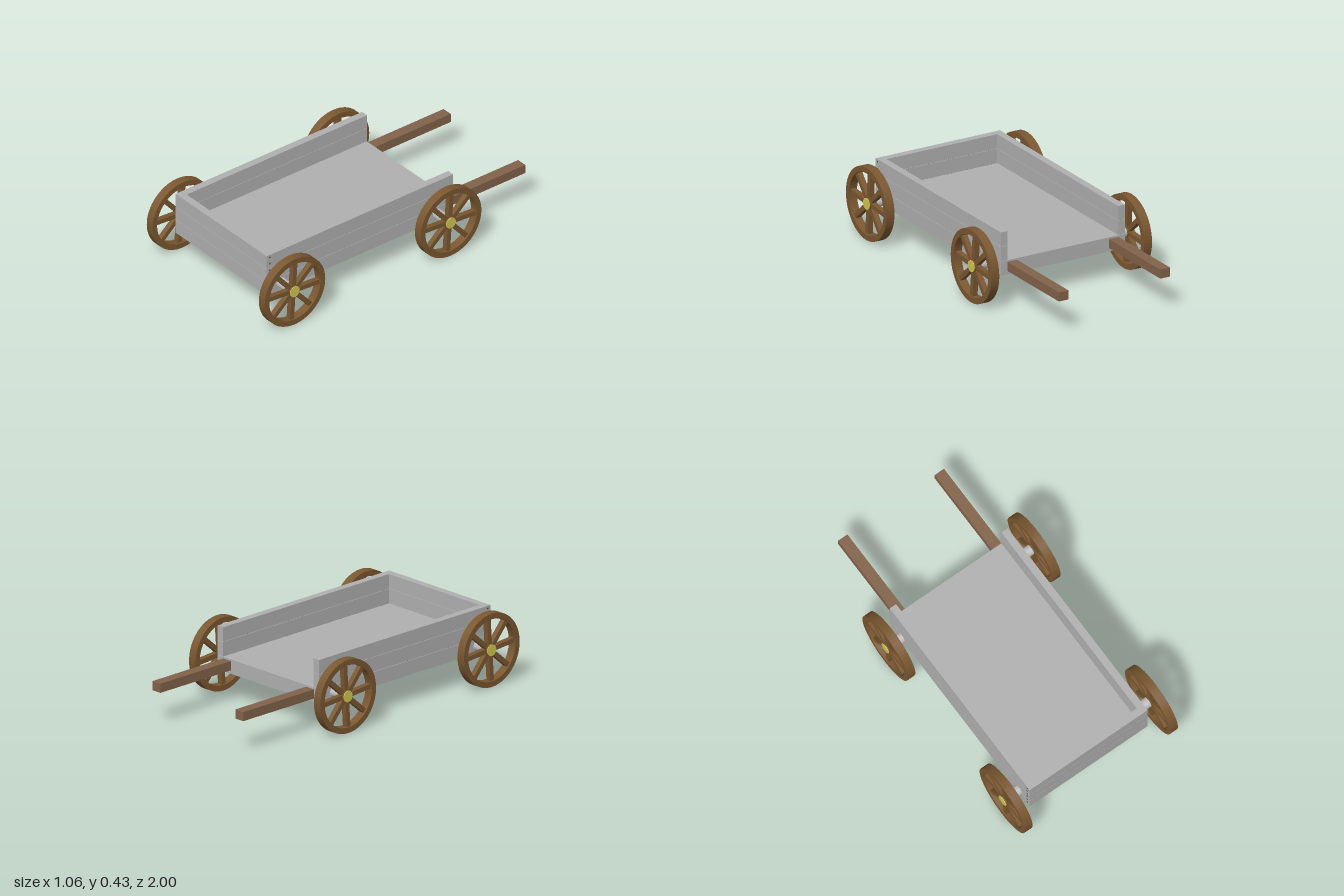
import * as THREE from 'three';

const material = (name, color, extra = {}) =>
  Object.assign(new THREE.MeshStandardMaterial({ color, ...extra }), { name });

export function createModel() {
  const cart = new THREE.Group();
  cart.name = 'cart';
  const grey = material('greyBoards', 0xb0b0b0);
  const wheelWood = material('wheelWood', 0x7a5730);
  const shaftWood = material('shaftWood', 0x82624a);
  const steel = material('axleSteel', 0xc0c0c0);
  const brass = material('brassCap', 0xd2c850);
  const dark = material('darkNail', 0x4a4a4a);

  const add = (name, geometry, mat, parent = cart) => {
    const mesh = new THREE.Mesh(geometry, mat);
    mesh.name = name;
    parent.add(mesh);
    return mesh;
  };
  // Box given by its lower and upper limits on each axis
  const box = (name, [x0, x1], [y0, y1], [z0, z1], mat) => {
    const mesh = add(name, new THREE.BoxGeometry(x1 - x0, y1 - y0, z1 - z0), mat);
    mesh.position.set((x0 + x1) / 2, (y0 + y1) / 2, (z0 + z1) / 2);
    return mesh;
  };

  // Bed and plank walls, open at the back
  const L = 0.402, R = -0.412, B = -0.45, F = 0.885, t = 0.044;
  box('floor', [R + t, L - t], [0.172, 0.257], [B, F - t], grey);
  const rows = [[0.172, 0.257], [0.259, 0.345], [0.347, 0.432]];
  for (const y of rows) {
    box('leftPlank', [L - t, L], y, [B, F - t], grey);
    box('rightPlank', [R, R + t], y, [B, F - t], grey);
    box('frontPlank', [R, L], y, [F - t, F], grey);
  }
  // Recessed strips behind the plank seams
  for (const y of [[0.256, 0.26], [0.344, 0.348]]) {
    box('leftSeam', [L - t + 0.004, L - 0.004], y, [B + 0.004, F - t], dark);
    box('rightSeam', [R + 0.004, R + t - 0.004], y, [B + 0.004, F - t], dark);
    box('frontSeam', [R + 0.004, L - 0.004], y, [F - t + 0.004, F - 0.004], dark);
  }

  // Nails at the front corners
  const nail = new THREE.CylinderGeometry(0.005, 0.005, 0.005, 8).rotateZ(Math.PI / 2);
  for (const x of [L, R]) {
    for (const y of [0.2, 0.24, 0.287, 0.33, 0.375, 0.417]) {
      add('nail', nail, dark).position.set(x, y, F - t / 2);
    }
  }

  // Pulling shafts
  for (const x of [-0.338, 0.328]) {
    box('shaft', [x - 0.032, x + 0.032], [0.193, 0.247], [-1, B + 0.005], shaftWood);
  }

  // Wheel parts: ring extruded along x, and spokes
  const radius = 0.217, width = 0.052, inner = 0.184;
  const ring = new THREE.Shape().absarc(0, 0, radius, 0, Math.PI * 2);
  ring.holes.push(new THREE.Path().absarc(0, 0, inner, 0, Math.PI * 2, true));
  const rim = new THREE.ExtrudeGeometry(ring, { depth: width, bevelEnabled: false, curveSegments: 32 })
    .translate(0, 0, -width / 2).rotateY(Math.PI / 2);
  const spoke = new THREE.BoxGeometry(0.032, 0.165, 0.028).translate(0, 0.108, 0);
  const hub = new THREE.CylinderGeometry(0.036, 0.036, 0.044, 20).rotateZ(Math.PI / 2);
  const cap = new THREE.CylinderGeometry(0.034, 0.034, 0.007, 20).rotateZ(Math.PI / 2);
  const axle = new THREE.CylinderGeometry(0.031, 0.031, 0.99, 24).rotateZ(Math.PI / 2);

  for (const z of [0.783, -0.335]) {
    add('axle', axle, steel).position.set(0, radius, z);
    for (const side of [1, -1]) {
      const wheel = new THREE.Group();
      wheel.name = side > 0 ? 'leftWheel' : 'rightWheel';
      wheel.position.set(side * 0.501, radius, z);
      add('rim', rim, wheelWood, wheel);
      add('hub', hub, wheelWood, wheel);
      add('hubCap', cap, brass, wheel).position.x = side * 0.0235;
      for (let i = 0; i < 8; i++) {
        add('spoke', spoke, wheelWood, wheel).rotation.x = (i * Math.PI) / 4 - 0.07;
      }
      cart.add(wheel);
    }
  }
  return cart;
}
